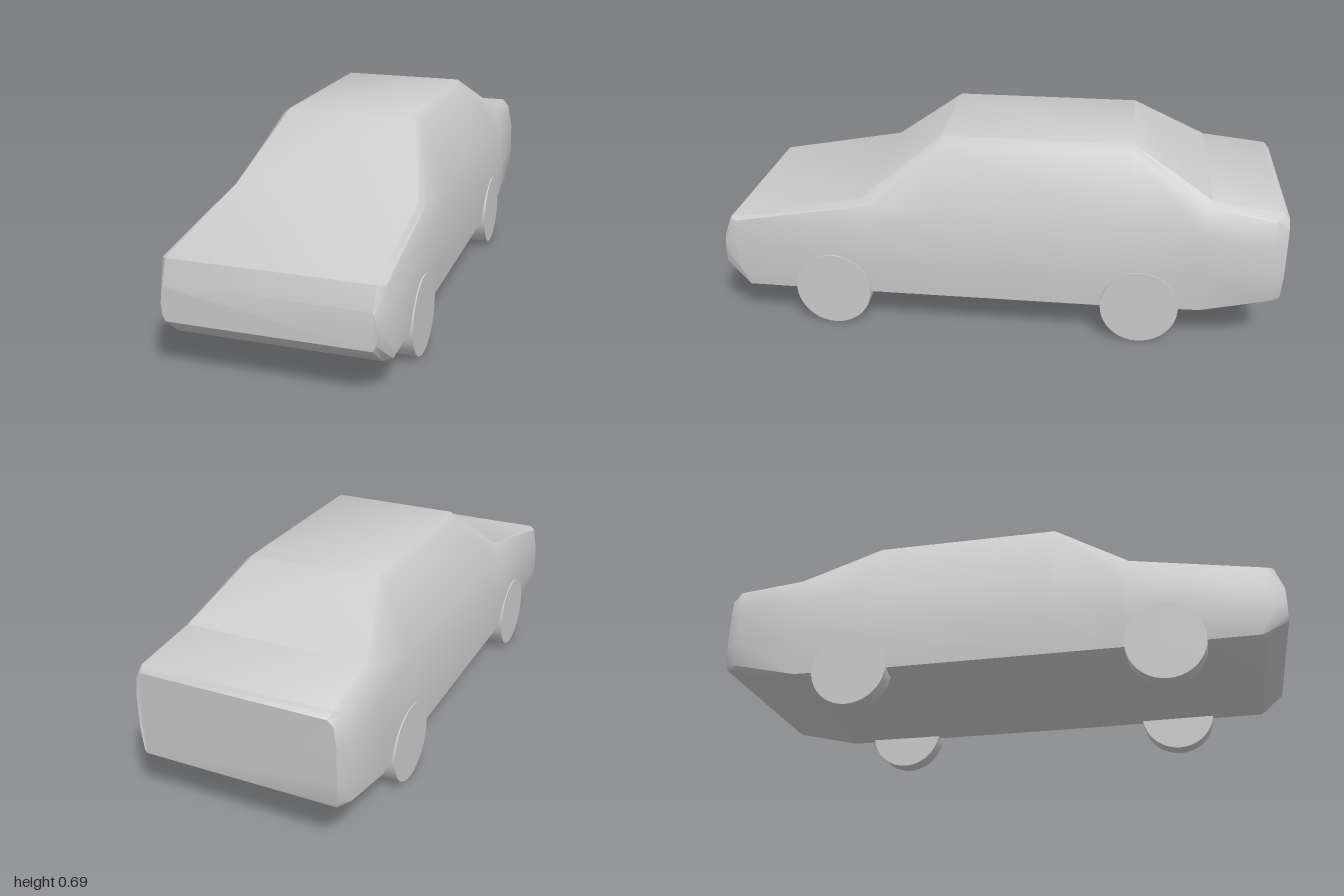
import * as THREE from 'three';
import { toCreasedNormals } from 'three/addons/utils/BufferGeometryUtils.js';

// Half cross-sections from nose to tail; each point is [x, y, z],
// ordered: floor edge, sill, side, belt, shoulder, top edge.
const SECTIONS = [
  // nose face
  [[.335, .19, 1], [.345, .21, 1], [.348, .25, 1], [.345, .28, 1], [.342, .3, 1], [.335, .315, 1]],
  // front of bonnet
  [[.34, .122, .92], [.37, .132, .91], [.378, .2, .94], [.374, .3, .945], [.36, .382, .95], [.338, .388, .97]],
  // windscreen base
  [[.34, .118, .485], [.37, .13, .47], [.379, .25, .465], [.37, .39, .46], [.345, .462, .455], [.325, .482, .485]],
  // roof front
  [[.34, .117, .21], [.37, .13, .21], [.378, .26, .21], [.355, .46, .21], [.258, .675, .2], [.23, .695, .21]],
  // roof rear
  [[.34, .117, -.465], [.37, .13, -.465], [.378, .26, -.465], [.355, .46, -.465], [.258, .675, -.455], [.23, .695, -.465]],
  // rear window base
  [[.34, .12, -.74], [.37, .135, -.72], [.38, .28, -.72], [.372, .42, -.72], [.346, .518, -.72], [.322, .537, -.74]],
  // boot end
  [[.345, .178, -.98], [.372, .187, -.945], [.38, .28, -.95], [.377, .4, -.95], [.358, .485, -.955], [.33, .508, -.98]],
  // tail face
  [[.34, .182, -.99], [.345, .195, -.995], [.35, .28, -1], [.35, .4, -1], [.342, .468, -1], [.322, .487, -1]],
];

// Mirror each half section into a ring, skin the rings and close both ends
function bodyGeometry() {
  const rings = SECTIONS.map(h => [...h, ...h.map(([x, y, z]) => [-x, y, z]).reverse()]);
  const n = rings[0].length, last = (rings.length - 1) * n;
  const index = [];
  for (let i = 0; i < rings.length - 1; i++) {
    for (let j = 0; j < n; j++) {
      const a = i * n + j, b = i * n + (j + 1) % n;
      index.push(a, a + n, b, a + n, b + n, b);
    }
  }
  for (let j = 1; j < n - 1; j++) {
    index.push(0, j, j + 1, last, last + j + 1, last + j);
  }
  const geo = new THREE.BufferGeometry();
  geo.setAttribute('position', new THREE.Float32BufferAttribute(rings.flat(2), 3));
  geo.setIndex(index);
  return toCreasedNormals(geo, 0.75);
}

export function createModel() {
  const car = new THREE.Group();
  car.name = 'car';
  const grey = new THREE.MeshStandardMaterial({ color: 0xcccccc });

  const body = new THREE.Mesh(bodyGeometry(), grey);
  body.name = 'body';
  car.add(body);

  // Four plain disc wheels, flush with the body sides
  const R = 0.137;
  const wheelGeo = new THREE.CylinderGeometry(R, R, 0.069, 40).rotateZ(Math.PI / 2);
  for (const [end, z] of [['front', 0.595], ['rear', -0.51]]) {
    for (const [side, s] of [['Left', 1], ['Right', -1]]) {
      const wheel = new THREE.Mesh(wheelGeo, grey);
      wheel.name = `${end}${side}Wheel`;
      wheel.position.set(s * 0.3475, R, z);
      car.add(wheel);
    }
  }
  return car;
}
